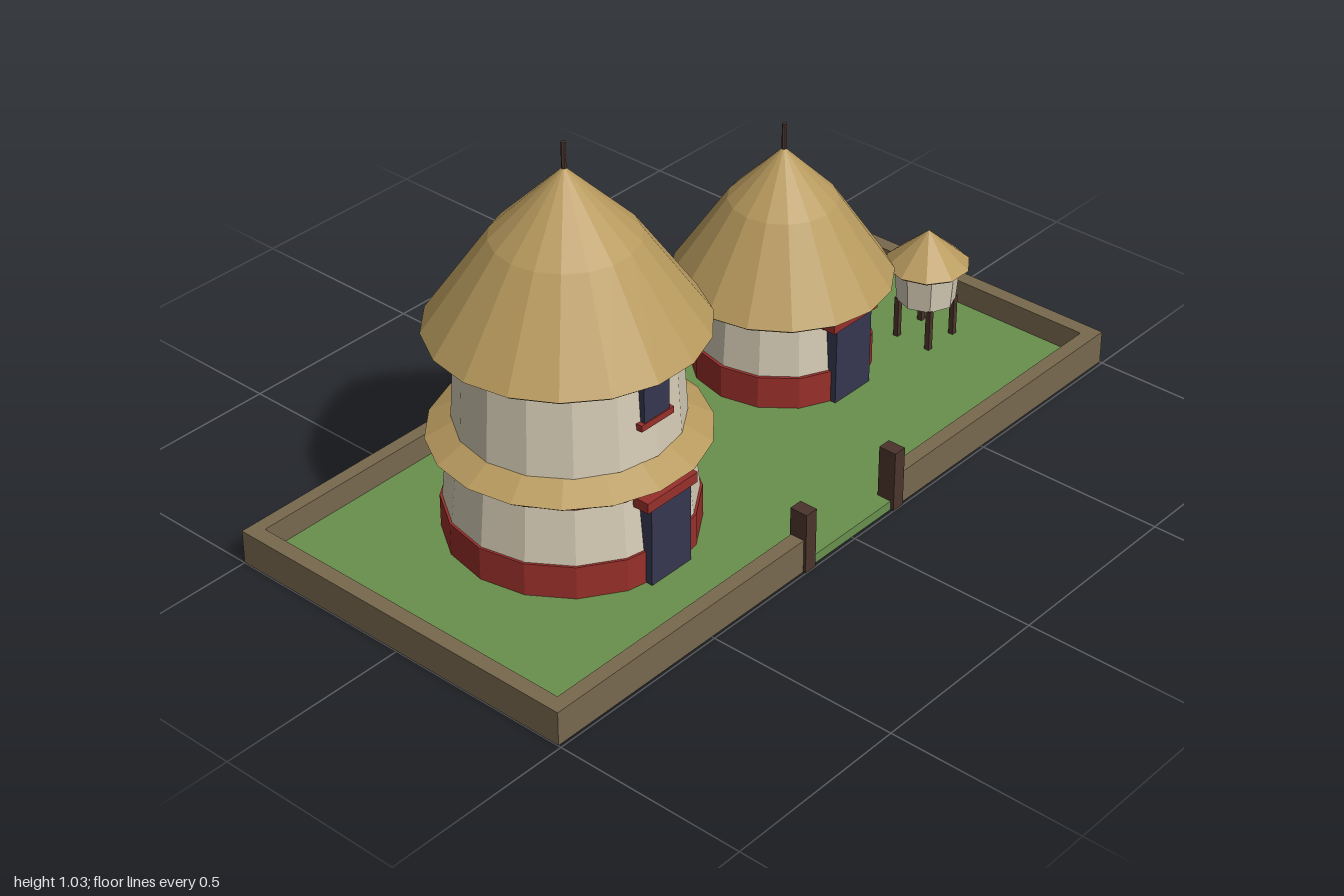
import * as THREE from 'three';

const paint = (name, color) => {
  const m = new THREE.MeshStandardMaterial({ color });
  m.name = name;
  return m;
};

export function createModel() {
  const grass = paint('grass', 0x698f4d);
  const earth = paint('earth wall', 0x78684e);
  const thatch = paint('thatch', 0xb89a5e);
  const plaster = paint('plaster', 0xd6ccb6);
  const red = paint('red clay', 0x982f2a);
  const navy = paint('dark opening', 0x36374f);
  const wood = paint('dark wood', 0x4a342c);

  const FLOOR = 0.025;

  // Box given by its extents on each axis
  function box(parent, name, mat, [x0, x1], [y0, y1], [z0, z1]) {
    const mesh = new THREE.Mesh(new THREE.BoxGeometry(x1 - x0, y1 - y0, z1 - z0), mat);
    mesh.position.set((x0 + x1) / 2, (y0 + y1) / 2, (z0 + z1) / 2);
    mesh.name = name;
    parent.add(mesh);
  }

  // Faceted drum or cone from (r0, y0) up to (r1, y1), with a corner on the x axis
  function drum(parent, name, mat, sides, r0, y0, r1, y1, open = false) {
    const geo = new THREE.CylinderGeometry(r1, r0, y1 - y0, sides, 1, open, Math.PI / 2).toNonIndexed();
    geo.computeVertexNormals();
    const mesh = new THREE.Mesh(geo, mat);
    mesh.position.y = (y0 + y1) / 2;
    mesh.name = name;
    parent.add(mesh);
  }

  // Thatched roof: thick eave edge, then stacked slopes through [radius, y] points
  function roof(parent, name, sides, points) {
    const g = new THREE.Group();
    g.name = name;
    const [r, y] = points[0];
    drum(g, 'eave', thatch, sides, r - 0.01, y - 0.008, r, y);
    for (let i = 1; i < points.length; i++) {
      drum(g, 'slope', thatch, sides, ...points[i - 1], ...points[i], true);
    }
    parent.add(g);
  }

  // Door with its lintel, standing proud of the wall
  function door(parent, front) {
    box(parent, 'door', navy, [-0.067, 0.067], [FLOOR, 0.235], [front - 0.04, front]);
    box(parent, 'lintel', red, [-0.084, 0.084], [0.235, 0.262], [front - 0.04, front + 0.005]);
  }

  const model = new THREE.Group();
  model.name = 'compound';
  const group = (name, x, z) => {
    const g = new THREE.Group();
    g.name = name;
    g.position.set(x, 0, z);
    model.add(g);
    return g;
  };

  // Yard and enclosing wall with a gate gap
  const yard = group('yard', 0, 0);
  box(yard, 'ground', grass, [-0.998, 0.998], [0, FLOOR], [-0.498, 0.491]);
  box(yard, 'backWall', earth, [-1, 1], [0.001, 0.09], [-0.5, -0.465]);
  for (const s of [-1, 1]) {
    const span = (a, b) => (s > 0 ? [a, b] : [-b, -a]);
    box(yard, 'sideWall', earth, span(0.96, 1), [0.001, 0.09], [-0.465, 0.455]);
    box(yard, 'frontWall', earth, span(0.165, 1), [0.001, 0.09], [0.455, 0.493]);
    box(yard, 'gatePost', wood, span(0.145, 0.181), [0.001, 0.163], [0.452, 0.5]);
  }

  // Two-storey house
  const house = group('tallHouse', -0.404, -0.023);
  drum(house, 'baseBand', red, 16, 0.306, FLOOR, 0.306, 0.112);
  drum(house, 'lowerWall', plaster, 16, 0.3, 0.11, 0.285, 0.265);
  drum(house, 'lowerBand', red, 16, 0.296, 0.262, 0.296, 0.286);
  roof(house, 'skirtRoof', 18, [[0.335, 0.291], [0.255, 0.338]]);
  drum(house, 'skirtRoofTop', thatch, 18, 0.255, 0.33, 0.255, 0.338);
  drum(house, 'upperWall', plaster, 16, 0.272, 0.33, 0.259, 0.55);
  drum(house, 'upperBand', red, 16, 0.266, 0.548, 0.266, 0.566);
  roof(house, 'mainRoof', 18, [[0.333, 0.573], [0.174, 0.802], [0, 0.975]]);
  drum(house, 'finial', wood, 6, 0.006, 0.96, 0.006, 1.035);
  door(house, 0.311);
  box(house, 'window', navy, [-0.042, 0.042], [0.437, 0.525], [0.235, 0.269]);
  box(house, 'windowSill', red, [-0.054, 0.054], [0.42, 0.437], [0.235, 0.272]);

  // Single-storey hut
  const hut = group('smallHut', 0.45, -0.102);
  drum(hut, 'baseBand', red, 14, 0.23, FLOOR, 0.23, 0.112);
  drum(hut, 'wall', plaster, 14, 0.222, 0.11, 0.212, 0.262);
  drum(hut, 'topBand', red, 14, 0.222, 0.258, 0.222, 0.276);
  roof(hut, 'hutRoof', 16, [[0.282, 0.281], [0.138, 0.497], [0, 0.637]]);
  drum(hut, 'finial', wood, 6, 0.006, 0.62, 0.006, 0.7);
  door(hut, 0.232);

  // Granary on stilts
  const granary = group('granary', 0.782, 0.1);
  for (const x of [-0.05, 0.05]) {
    for (const z of [-0.05, 0.05]) {
      box(granary, 'leg', wood, [x - 0.007, x + 0.007], [FLOOR, 0.138], [z - 0.007, z + 0.007]);
    }
  }
  drum(granary, 'bin', plaster, 8, 0.076, 0.135, 0.084, 0.238);
  roof(granary, 'granaryRoof', 10, [[0.109, 0.238], [0, 0.333]]);

  return model;
}
